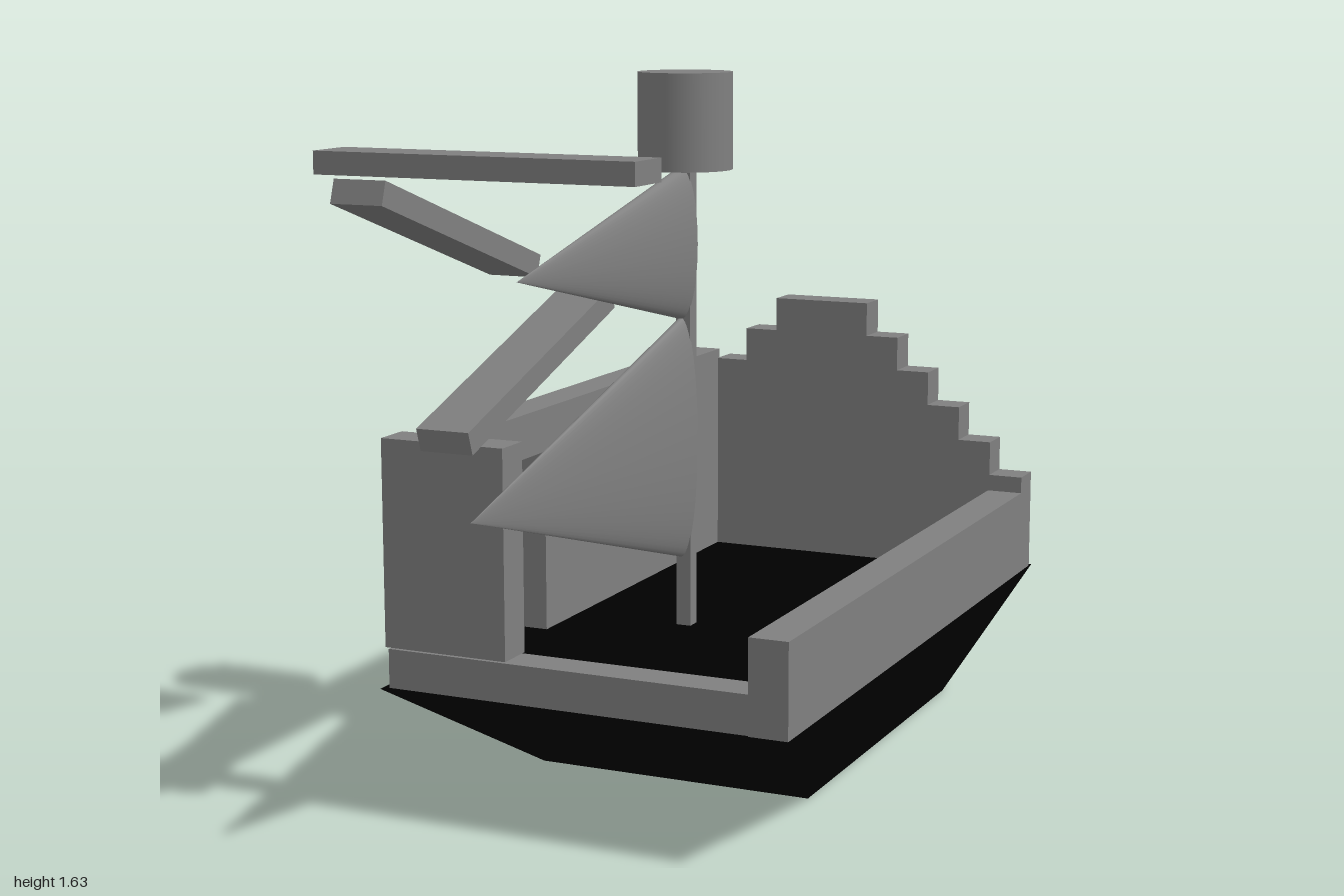
import * as THREE from 'three';

const grey = new THREE.MeshStandardMaterial({ color: 0x808080 });
const black = new THREE.MeshStandardMaterial({ color: 0x000000, flatShading: true });

export function createModel() {
  const model = new THREE.Group();
  const ship = new THREE.Group();
  ship.name = 'ship';
  ship.rotation.y = 0.007; // sits very slightly turned
  model.add(ship);

  function add(name, geometry, material = grey) {
    const mesh = new THREE.Mesh(geometry, material);
    mesh.name = name;
    ship.add(mesh);
    return mesh;
  }

  // Box given by its limits on each axis
  function block(name, [x0, x1], [y0, y1], [z0, z1]) {
    const mesh = add(name, new THREE.BoxGeometry(x1 - x0, y1 - y0, z1 - z0));
    mesh.position.set((x0 + x1) / 2, (y0 + y1) / 2, (z0 + z1) / 2);
  }

  const polygon = (points) => points.map(([x, y]) => new THREE.Vector2(x, y));

  // Hull: a box whose lower corners are drawn in; its top is the deck
  const hull = new THREE.BoxGeometry(1, 1, 1);
  const p = hull.attributes.position;
  for (let i = 0; i < p.count; i++) {
    const top = p.getY(i) > 0;
    const right = p.getX(i) > 0;
    const front = p.getZ(i) > 0;
    if (top) p.setXYZ(i, right ? 0.535 : -0.445, 0.29, front ? 0.745 : -0.995);
    else p.setXYZ(i, right ? 0.39 : -0.29, 0, front ? 0.26 : -0.695);
  }
  hull.computeVertexNormals();
  add('hull', hull, black);

  // Low walls and the tall panel at the bow
  block('leftLowWall', [0.442, 0.533], [0.29, 0.505], [-0.891, 0.735]);
  block('bowSill', [-0.43, 0.442], [0.29, 0.38], [0.64, 0.73]);
  block('bowPanel', [-0.444, -0.141], [0.38, 0.855], [0.63, 0.72]);

  // Tall side wall with a window, open below its top beam near the bow
  const side = new THREE.Shape(polygon([
    [-0.9, 0.29], [0.14, 0.29], [0.14, 0.73], [0.64, 0.73], [0.64, 0.836], [-0.9, 0.836],
  ]));
  side.holes.push(new THREE.Path(polygon([
    [-0.56, 0.45], [-0.56, 0.642], [-0.28, 0.642], [-0.28, 0.45],
  ])));
  const sideWall = add('rightTallWall', new THREE.ExtrudeGeometry(side, { depth: 0.09, bevelEnabled: false }));
  sideWall.rotation.y = -Math.PI / 2;
  sideWall.position.x = -0.343;

  // Stepped stern wall
  const step = 0.088;
  const outline = [[-0.433, 0.29], [0.533, 0.29]];
  for (let i = 5; i >= 0; i--) {
    const y = 0.987 - i * step;
    outline.push([0.093 + i * step, y]);
    if (i > 0) outline.push([0.093 + (i - 1) * step, y]);
  }
  for (let i = 0; i <= 3; i++) {
    const y = 0.987 - i * step;
    if (i > 0) outline.push([-0.169 - (i - 1) * step, y]);
    outline.push([-0.169 - i * step, y]);
  }
  const stern = add('sternWall', new THREE.ExtrudeGeometry(
    new THREE.Shape(polygon(outline)), { depth: 0.087, bevelEnabled: false }));
  stern.position.z = -0.978;

  // Mast and lookout drum
  block('mast', [-0.075, -0.038], [0.29, 1.41], [-0.07, -0.033]);
  const drum = add('lookout', new THREE.CylinderGeometry(0.113, 0.113, 0.23, 48));
  drum.position.set(-0.062, 1.517, -0.058);

  // Sails: flattened cones pointing forward
  function sail(name, y, halfHeight, tipZ) {
    const baseZ = -0.037;
    const cone = new THREE.ConeGeometry(1, tipZ - baseZ, 48);
    cone.rotateX(Math.PI / 2);
    cone.scale(0.043, halfHeight, 1);
    add(name, cone).position.set(-0.063, y, (tipZ + baseZ) / 2);
  }
  sail('lowerSail', 0.755, 0.295, 1);
  sail('upperSail', 1.227, 0.183, 0.79);

  // Level crossbar and two sloping planks
  block('crossbar', [-0.545, 0.22], [1.437, 1.488], [0.68, 0.805]);
  function plank(name, x, y, z, tilt) {
    const mesh = add(name, new THREE.BoxGeometry(0.128, 0.055, 0.733));
    mesh.position.set(x, y, z);
    mesh.rotation.x = tilt;
  }
  plank('upperPlank', -0.424, 1.29, 0.475, -0.318);
  plank('lowerPlank', -0.25, 0.988, 0.431, 0.325);

  return model;
}
